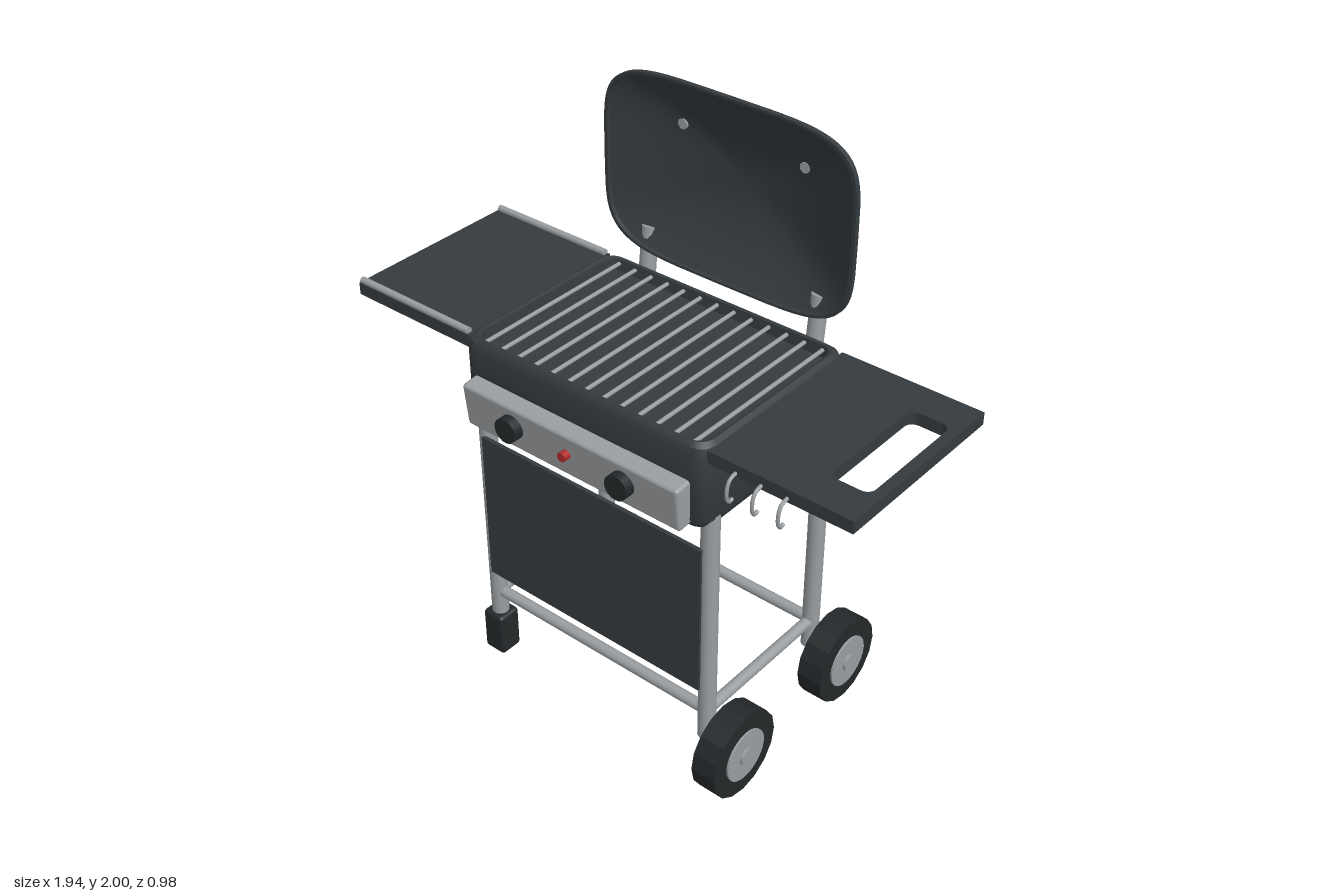
import * as THREE from 'three';
import { toCreasedNormals } from 'three/addons/utils/BufferGeometryUtils.js';
import { RoundedBoxGeometry } from 'three/addons/geometries/RoundedBoxGeometry.js';

const paint = (color) => new THREE.MeshStandardMaterial({ color });
const V = (x, y, z) => new THREE.Vector3(x, y, z);

// Skins a stack of equal-length rings (counter-clockwise seen from +y, bottom to top)
function loft(rings, crease = 0.6) {
  const n = rings[0].length, pos = [];
  const tri = (a, b, c) => {
    if (a.distanceTo(b) > 1e-6 && b.distanceTo(c) > 1e-6 && c.distanceTo(a) > 1e-6)
      [a, b, c].forEach((p) => pos.push(p.x, p.y, p.z));
  };
  for (let i = 0; i < rings.length - 1; i++) {
    for (let j = 0; j < n; j++) {
      const k = (j + 1) % n;
      tri(rings[i][j], rings[i][k], rings[i + 1][k]);
      tri(rings[i][j], rings[i + 1][k], rings[i + 1][j]);
    }
  }
  const g = new THREE.BufferGeometry();
  g.setAttribute('position', new THREE.Float32BufferAttribute(pos, 3));
  return toCreasedNormals(g, crease);
}

// Rounded rectangle ring with half width w, half depth d, corner radius r
function roundRing([w, d, r, y]) {
  const pts = [];
  [[1, -1], [-1, -1], [-1, 1], [1, 1]].forEach(([sx, sz], q) => {
    for (let i = 0; i <= 6; i++) {
      const a = (q + i / 6) * Math.PI / 2;
      pts.push(V(sx * (w - r) + r * Math.cos(a), y, sz * (d - r) - r * Math.sin(a)));
    }
  });
  return pts;
}

// Squarish oval ring for the lid, scaled by s
function ovalRing(s, y) {
  const pts = [], p = 2 / 4.6;
  for (let i = 0; i < 64; i++) {
    const a = i / 64 * Math.PI * 2, c = Math.cos(a), n = Math.sin(a);
    pts.push(V(0.485 * s * Math.sign(c) * Math.abs(c) ** p, y, -0.322 * s * Math.sign(n) * Math.abs(n) ** p));
  }
  return pts;
}

export function createModel() {
  const grill = new THREE.Group();
  const dark = paint(0x353b3f), metal = paint(0x9a9ea1), rubber = paint(0x24282a), red = paint(0xb02a2a);

  const add = (name, geo, mat, x = 0, y = 0, z = 0) => {
    const m = new THREE.Mesh(geo, mat);
    m.name = name;
    m.position.set(x, y, z);
    grill.add(m);
    return m;
  };
  const rod = (name, a, b, r, mat = metal, sides = 16) => {
    const m = add(name, new THREE.CylinderGeometry(r, r, a.distanceTo(b), sides), mat);
    m.position.copy(a).add(b).multiplyScalar(0.5);
    m.quaternion.setFromUnitVectors(V(0, 1, 0), b.clone().sub(a).normalize());
    return m;
  };

  // Firebox with a recessed top
  add('firebox', loft([
    [0, 0, 0, 1.0], [0.44, 0.31, 0.03, 1.0], [0.468, 0.333, 0.05, 1.012], [0.485, 0.35, 0.06, 1.045],
    [0.485, 0.35, 0.06, 1.27], [0.477, 0.342, 0.055, 1.298], [0.46, 0.328, 0.05, 1.31],
    [0.448, 0.32, 0.045, 1.306], [0.443, 0.315, 0.04, 1.265], [0, 0, 0, 1.265],
  ].map(roundRing)), dark, 0, 0, 0.05);

  // Cooking grate
  for (let i = -6; i <= 6; i++)
    rod('grateBar', V(i * 0.0685, 1.292, -0.265), V(i * 0.0685, 1.292, 0.365), 0.007, metal, 8);

  // Hollow domed lid, standing open
  const rings = [], steps = 10;
  for (let i = 0; i <= steps; i++) {
    const s = 0.975 * i / steps;
    rings.push(ovalRing(s, 0.295 + 0.115 * (1 - s * s)));
  }
  rings.push(ovalRing(0.975, 0.285), ovalRing(1, 0.285));
  for (let i = steps; i >= 0; i--) {
    const s = i / steps;
    rings.push(ovalRing(s, 0.303 + 0.117 * (1 - s * s)));
  }
  add('lid', loft(rings).rotateX(-Math.PI / 2), dark, 0, 1.678, 0);

  // Lid handle and hinges
  rod('lidHandle', V(-0.25, 1.81, -0.465), V(0.25, 1.81, -0.465), 0.025, dark);
  for (const s of [-1, 1]) {
    rod('handlePost', V(s * 0.235, 1.81, -0.372), V(s * 0.235, 1.81, -0.465), 0.018);
    rod('hinge', V(s * 0.34, 1.213, -0.317), V(s * 0.34, 1.432, -0.341), 0.029);
  }

  // Control panel, knobs and igniter
  const panel = add('controlPanel', new RoundedBoxGeometry(0.86, 0.158, 0.07, 3, 0.012), metal, 0, 1.104, 0.417);
  panel.rotation.x = 0.1;
  for (const s of [-1, 1]) rod('knob', V(s * 0.222, 1.11, 0.44), V(s * 0.222, 1.11, 0.488), 0.043, rubber, 20);
  rod('igniter', V(0, 1.11, 0.44), V(0, 1.11, 0.478), 0.016, red);

  // Side shelves; the one on +x has a cut-out grip
  const shelf = (name, x, hole) => {
    const shape = new THREE.Shape();
    shape.moveTo(-0.25, -0.33).lineTo(0.25, -0.33).lineTo(0.25, 0.33).lineTo(-0.25, 0.33).closePath();
    if (hole) {
      const h = new THREE.Path(), r = 0.03, [x0, y0, x1, y1] = [0.08, -0.205, 0.215, 0.205];
      h.absarc(x1 - r, y1 - r, r, 0, Math.PI / 2);
      h.absarc(x0 + r, y1 - r, r, Math.PI / 2, Math.PI);
      h.absarc(x0 + r, y0 + r, r, Math.PI, Math.PI * 1.5);
      h.absarc(x1 - r, y0 + r, r, Math.PI * 1.5, Math.PI * 2);
      shape.holes.push(h);
    }
    const g = new THREE.ExtrudeGeometry(shape, { depth: 0.043, bevelEnabled: false, curveSegments: 6 });
    add(name, g.rotateX(-Math.PI / 2), dark, x, 1.256, 0.046);
  };
  shelf('rightShelf', -0.72, false);
  shelf('leftShelf', 0.72, true);
  for (const z of [-0.272, 0.364])
    rod('shelfRail', V(-0.965, 1.306, z), V(-0.48, 1.306, z), 0.012, metal, 10);
  for (const s of [-1, 1]) rod('shelfBrace', V(s * 0.70, 1.262, 0.052), V(s * 0.46, 1.105, 0.052), 0.02);

  // Utensil hooks under the shelf front
  const hookPath = new THREE.CatmullRomCurve3([
    V(0, 1.27, 0.37), V(0, 1.262, 0.4), V(0, 1.24, 0.413), V(0, 1.2, 0.413), V(0, 1.184, 0.402), V(0, 1.188, 0.388),
  ]);
  const hookGeo = new THREE.TubeGeometry(hookPath, 18, 0.006, 8);
  for (const x of [0.573, 0.662, 0.751]) add('hook', hookGeo, metal, x);

  // Legs, feet, wheels and lower frame
  const X = 0.457, Y = 0.255;
  for (const z of [0.335, -0.225]) {
    rod('rightLeg', V(-X, 0.1, z), V(-X, 1.05, z), 0.03);
    add('foot', new RoundedBoxGeometry(0.088, 0.165, 0.088, 2, 0.014), rubber, -X, 0.0825, z);
    rod('leftLeg', V(X, 0.15, z), V(X, 1.05, z), 0.03);
    rod('axle', V(X - 0.02, 0.157, z), V(0.53, 0.157, z), 0.016);
    const tyre = rod('tyre', V(0.52, 0.155, z), V(0.61, 0.155, z), 0.155, rubber, 16);
    tyre.geometry = toCreasedNormals(tyre.geometry, 0.2);
    rod('hub', V(0.516, 0.155, z), V(0.617, 0.155, z), 0.093, metal, 24);
    rod('hubCap', V(0.6, 0.155, z), V(0.626, 0.155, z), 0.032);
    rod('crossBar', V(-X, Y, z), V(X, Y, z), 0.02);
  }
  for (const s of [-1, 1]) rod('sideBar', V(s * X, Y, -0.225), V(s * X, Y, 0.335), 0.02);

  // Front screen between the legs
  add('frontPanel', new THREE.BoxGeometry(0.9, 0.56, 0.014), dark, 0, 0.64, 0.366);

  return grill;
}
